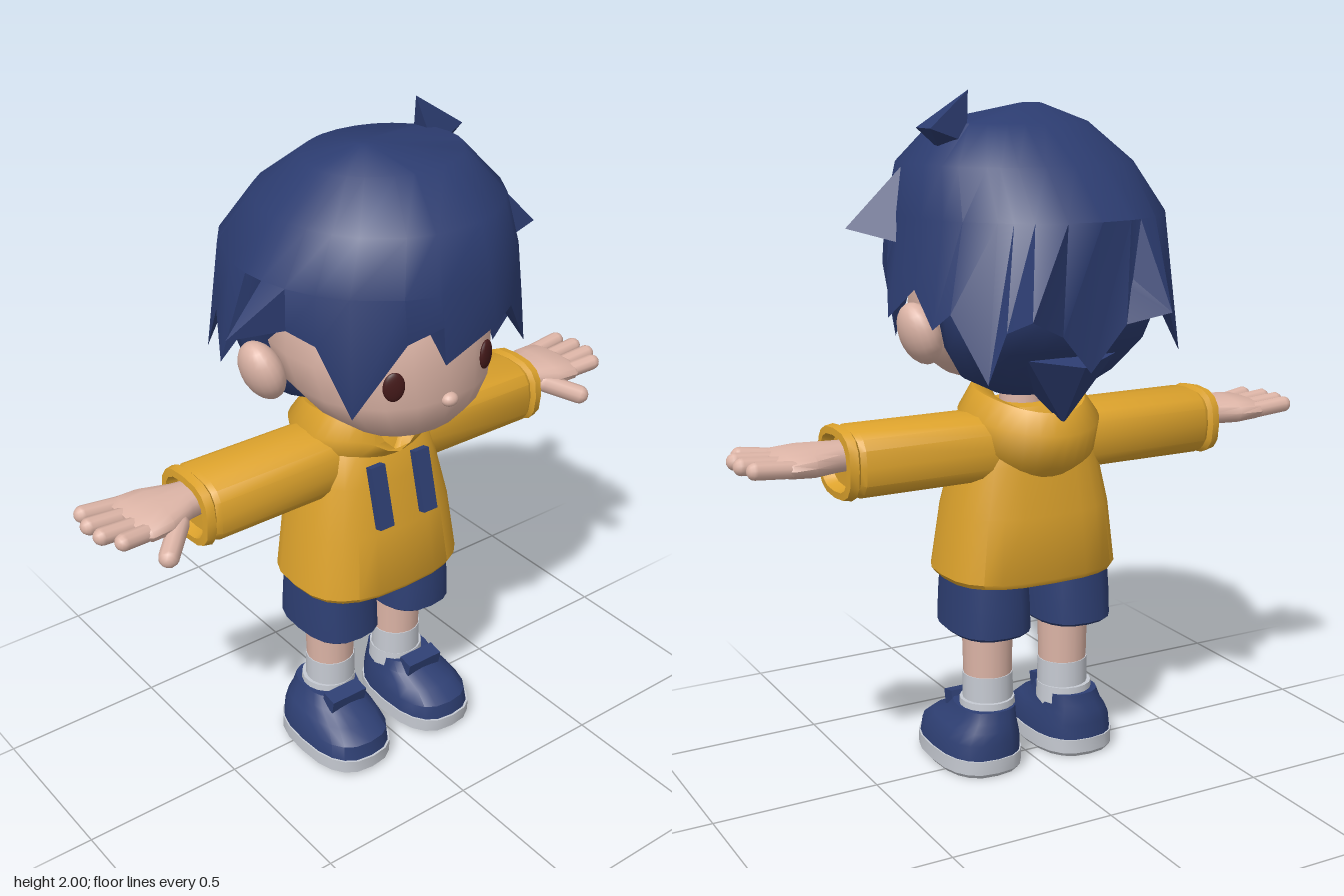
import * as THREE from 'three';
import { toCreasedNormals } from 'three/addons/utils/BufferGeometryUtils.js';
import { ConvexGeometry } from 'three/addons/geometries/ConvexGeometry.js';

const mat = (name, color, side = THREE.FrontSide) => {
  const m = new THREE.MeshStandardMaterial({ color, side });
  m.name = name;
  return m;
};

// Rounded cross-section at height y; n = 2 is an ellipse, higher is squarer
function ring(y, rx, rz, cx = 0, cz = 0, n = 2.2, sides = 20) {
  const p = (v) => Math.sign(v) * Math.abs(v) ** (2 / n);
  return Array.from({ length: sides }, (_, j) => {
    const a = (j / sides) * Math.PI * 2;
    return [cx + rx * p(Math.sin(a)), y, cz + rz * p(Math.cos(a))];
  });
}

// Skins closed rings listed from bottom to top, with optional end caps
function skin(rings, caps = true, crease = 0.7) {
  const pos = [];
  const n = rings[0].length;
  const mid = (r) => [0, 1, 2].map((k) => r.reduce((s, p) => s + p[k], 0) / n);
  const first = rings[0], last = rings[rings.length - 1];
  const c0 = mid(first), c1 = mid(last);
  for (let j = 0; j < n; j++) {
    const k = (j + 1) % n;
    for (let i = 0; i < rings.length - 1; i++) {
      const a = rings[i][j], b = rings[i][k], c = rings[i + 1][k], d = rings[i + 1][j];
      pos.push(...a, ...b, ...c, ...a, ...c, ...d);
    }
    if (caps) pos.push(...c0, ...first[k], ...first[j], ...c1, ...last[j], ...last[k]);
  }
  const g = new THREE.BufferGeometry();
  g.setAttribute('position', new THREE.Float32BufferAttribute(pos, 3));
  g.computeVertexNormals();
  return toCreasedNormals(g, crease);
}

// Capsule running between two points
function limb(a, b, r) {
  const A = new THREE.Vector3(...a), d = new THREE.Vector3(...b).sub(A);
  const q = new THREE.Quaternion().setFromUnitVectors(new THREE.Vector3(0, 1, 0), d.clone().normalize());
  const g = new THREE.CapsuleGeometry(r, d.length(), 4, 10).applyQuaternion(q);
  return g.translate(...A.addScaledVector(d, 0.5).toArray());
}

const ball = (rx, ry, rz) => new THREE.SphereGeometry(1, 18, 12).scale(rx, ry, rz);

// Copy of a geometry reflected in x, with its corners put back in order
function mirrored(geo) {
  const g = geo.index ? geo.toNonIndexed() : geo.clone();
  g.scale(-1, 1, 1);
  for (const key of ['position', 'normal']) {
    const a = g.attributes[key].array;
    for (let i = 0; i < a.length; i += 9)
      for (let k = 3; k < 6; k++) [a[i + k], a[i + k + 3]] = [a[i + k + 3], a[i + k]];
  }
  return g;
}

export function createModel() {
  const model = new THREE.Group();
  const skinMat = mat('skin', 0xdcb4a6);
  const blue = mat('navy', 0x2e3f73);
  const hairMat = mat('hair blue', 0x2c3c70, THREE.DoubleSide);
  const yellow = mat('yellow cloth', 0xdca22c, THREE.DoubleSide);
  const pale = mat('pale grey', 0xc6cad2);
  const eyeMat = mat('dark brown', 0x451a1a);

  const add = (name, geo, material) => {
    const m = new THREE.Mesh(geo, material);
    m.name = name;
    model.add(m);
  };
  const pair = (name, geo, material) => {
    add('left' + name, geo, material);
    add('right' + name, mirrored(geo), material);
  };

  // Head, neck, nose, eyes and ears
  add('head', skin([
    ring(1.155, 0.08, 0.09, 0, 0.17), ring(1.18, 0.17, 0.16, 0, 0.16),
    ring(1.23, 0.24, 0.23, 0, 0.13), ring(1.3, 0.29, 0.29, 0, 0.09),
    ring(1.4, 0.31, 0.31, 0, 0.06), ring(1.55, 0.3, 0.31, 0, 0.05), ring(1.7, 0.2, 0.2),
  ], true, 1), skinMat);
  add('neck', new THREE.CylinderGeometry(0.065, 0.07, 0.2, 16).translate(0, 1.1, 0.02), skinMat);
  add('nose', ball(0.025, 0.02, 0.022).translate(0, 1.3, 0.38), skinMat);
  pair('Eye', ball(0.031, 0.043, 0.012).rotateY(0.4).translate(0.16, 1.37, 0.34), eyeMat);
  pair('Ear', ball(0.055, 0.092, 0.078).rotateZ(-0.35).translate(0.342, 1.335, -0.008), skinMat);

  // Under layer of hair over the back of the skull
  add('scalpHair', skin([
    ring(1.16, 0.14, 0.09, 0, -0.08), ring(1.21, 0.24, 0.13, 0, -0.08),
    ring(1.3, 0.305, 0.17, 0, -0.12), ring(1.4, 0.33, 0.21, 0, -0.14),
    ring(1.53, 0.335, 0.31, 0, -0.04), ring(1.6, 0.335, 0.36, 0, 0.03), ring(1.75, 0.28, 0.28, 0, 0.03),
  ], true, 1), hairMat);

  // Outer hair: rim of lock tips and notches, going round from the front towards +x
  const rim = [
    [-0.085, 1.46, 0.46], [0.08, 1.53, 0.465], [0.16, 1.55, 0.43], [0.26, 1.4, 0.38],
    [0.31, 1.5, 0.31], [0.33, 1.3, 0.18], [0.38, 1.52, 0.12], [0.42, 1.38, 0.03],
    [0.39, 1.47, -0.08], [0.38, 1.37, -0.17], [0.36, 1.42, -0.24], [0.3, 1.24, -0.34],
    [0.26, 1.38, -0.37], [0.235, 1.42, -0.465], [0.1, 1.36, -0.39], [0, 1.25, -0.37],
    [-0.1, 1.38, -0.39], [-0.18, 1.42, -0.49], [-0.24, 1.42, -0.38], [-0.32, 1.28, -0.32],
    [-0.36, 1.45, -0.2], [-0.44, 1.37, -0.06], [-0.39, 1.52, 0.03], [-0.535, 1.53, 0.12],
    [-0.39, 1.54, 0.18], [-0.36, 1.52, 0.27], [-0.29, 1.31, 0.33], [-0.18, 1.53, 0.42],
    [-0.095, 1.57, 0.46],
  ];
  const hairRing = (y, rx, rz, cx, cz) => rim.map(([x, , z]) => {
    const a = Math.atan2(x / 0.4, (z - 0.03) / 0.43);
    return [cx + rx * Math.sin(a), y, cz + rz * Math.cos(a)];
  });
  add('hair', skin([
    rim.map(([x, y, z]) => [x * 0.82, Math.max(y, 1.46) + 0.05, z * 0.82]),
    rim,
    hairRing(1.66, 0.395, 0.43, -0.02, 0.04),
    hairRing(1.8, 0.34, 0.345, 0, 0.065),
    hairRing(1.91, 0.23, 0.2, 0.01, 0.07),
    hairRing(1.96, 0.03, 0.03, -0.08, 0.11),
  ], true, 0.6), hairMat);

  // Loose locks: side flick, crown tuft and nape point
  const locks = {
    sideLock: [[0.32, 1.81, 0.1], [0.35, 1.64, 0.23], [0.36, 1.58, 0.02], [0.49, 1.62, 0.155]],
    crownTuft: [[0.185, 2, -0.01], [0.335, 1.9, -0.08], [0.335, 1.9, 0.01],
      [0.21, 1.86, -0.05], [0.21, 1.86, 0.04], [0.27, 1.84, 0]],
    napeLock: [[-0.14, 1.28, -0.27], [0.14, 1.28, -0.27], [-0.09, 1.2, -0.13],
      [0.09, 1.2, -0.13], [0, 1.26, -0.34], [0, 1.08, -0.22]],
  };
  for (const [name, pts] of Object.entries(locks))
    add(name, new ConvexGeometry(pts.map((p) => new THREE.Vector3(...p))), hairMat);

  // Hoodie body
  const body = (y, rx, rz, cz) => ring(y, rx, rz, 0, cz, 2.8, 24);
  add('hoodieBody', skin([
    body(0.595, 0.262, 0.195, 0.017), body(0.61, 0.273, 0.203, 0.017), body(0.8, 0.248, 0.185, 0.01),
    body(0.95, 0.213, 0.16, 0.005), body(1.05, 0.19, 0.14, 0), body(1.11, 0.13, 0.1, 0),
  ]), yellow);

  // Hood lying open round the neck, with a V at the front
  const hoodRow = (rx, front, back, yFront, yBack, notch = 0) =>
    Array.from({ length: 32 }, (_, j) => {
      let a = (j / 32) * Math.PI * 2;
      if (a > Math.PI) a -= Math.PI * 2;
      const t = ((1 - Math.cos(a)) / 2) ** 2;
      const c = Math.cos(a);
      return [rx * Math.sin(a), yFront + (yBack - yFront) * t - notch * Math.exp(-((a / 0.38) ** 2)),
        c * (c > 0 ? front : back)];
    });
  add('hood', skin([
    hoodRow(0.16, 0.13, 0.14, 1.0, 0.9), hoodRow(0.2, 0.165, 0.22, 1.05, 0.95),
    hoodRow(0.205, 0.17, 0.25, 1.1, 1.05, 0.06), hoodRow(0.16, 0.145, 0.21, 1.17, 1.11, 0.13),
    hoodRow(0.12, 0.12, 0.16, 1.16, 1.1, 0.13), hoodRow(0.06, 0.08, 0.05, 1.04, 1.03, 0.03),
  ], false, 1), yellow);
  pair('Drawstring', new THREE.BoxGeometry(0.05, 0.19, 0.025).rotateX(-0.25).translate(0.08, 0.925, 0.185), blue);

  // Sleeves with a cuff lip, built upright and laid along x
  const along = (rows, n) => skin(rows.map(([x, ry, rz]) => ring(x, ry, rz, 0, 0, n, 16))).rotateZ(-Math.PI / 2);
  pair('Sleeve', along([
    [0.12, 0.1, 0.115], [0.56, 0.1, 0.118], [0.575, 0.092, 0.108], [0.585, 0.104, 0.122],
    [0.61, 0.1, 0.118], [0.612, 0.08, 0.095], [0.58, 0.07, 0.085],
  ], 2.8).translate(0, 0.995, -0.01), yellow);

  // Hands: palm, four fingers and a thumb
  pair('Palm', along([
    [0.54, 0.04, 0.055], [0.62, 0.042, 0.07], [0.7, 0.042, 0.108], [0.77, 0.034, 0.115], [0.795, 0.02, 0.1],
  ], 2.4).translate(0, 1.015, -0.015), skinMat);
  [[-0.1, -0.105, 0.87], [-0.042, -0.042, 0.885], [0.017, 0.022, 0.882], [0.065, 0.08, 0.85]].forEach(
    ([z0, z1, x], i) => pair('Finger' + (i + 1), limb([0.76, 1.015, z0], [x, 1.025, z1], 0.025), skinMat));
  pair('Thumb', limb([0.67, 1.0, 0.06], [0.75, 0.965, 0.135], 0.029), skinMat);

  // Shorts, legs and socks
  const leg = (y, rx, rz) => ring(y, rx, rz, 0.137, 0.01, 2.6);
  pair('ShortsLeg', skin([
    leg(0.43, 0.11, 0.148), leg(0.44, 0.12, 0.16), leg(0.52, 0.118, 0.157), leg(0.66, 0.11, 0.145),
  ]), blue);
  const tube = (r0, r1, y0, y1) =>
    new THREE.CylinderGeometry(r1, r0, y1 - y0, 18).translate(0.13, (y0 + y1) / 2, 0);
  pair('Leg', tube(0.073, 0.078, 0.28, 0.5), skinMat);
  pair('Sock', tube(0.077, 0.076, 0.1, 0.29), pale);
  pair('SockCuff', tube(0.086, 0.083, 0.16, 0.212).translate(0.004, 0, -0.004), pale);

  // Shoes: sole, upper and tongue
  const foot = (y, rx, rz, cx, cz) => ring(y, rx, rz, cx, cz, 2.6);
  pair('Sole', skin([
    foot(0, 0.12, 0.18, 0.16, 0.06), foot(0.012, 0.13, 0.193, 0.16, 0.065), foot(0.055, 0.13, 0.195, 0.16, 0.066),
  ], true, 0.5), pale);
  pair('ShoeUpper', skin([
    foot(0.05, 0.126, 0.19, 0.16, 0.065), foot(0.1, 0.122, 0.184, 0.158, 0.062),
    foot(0.135, 0.106, 0.158, 0.154, 0.04), foot(0.16, 0.092, 0.118, 0.148, 0.01),
    foot(0.192, 0.084, 0.1, 0.143, 0),
  ]), blue);
  pair('ShoeTongue', new THREE.BoxGeometry(0.125, 0.05, 0.05).rotateX(0.2).translate(0.15, 0.18, 0.1), blue);

  return model;
}
